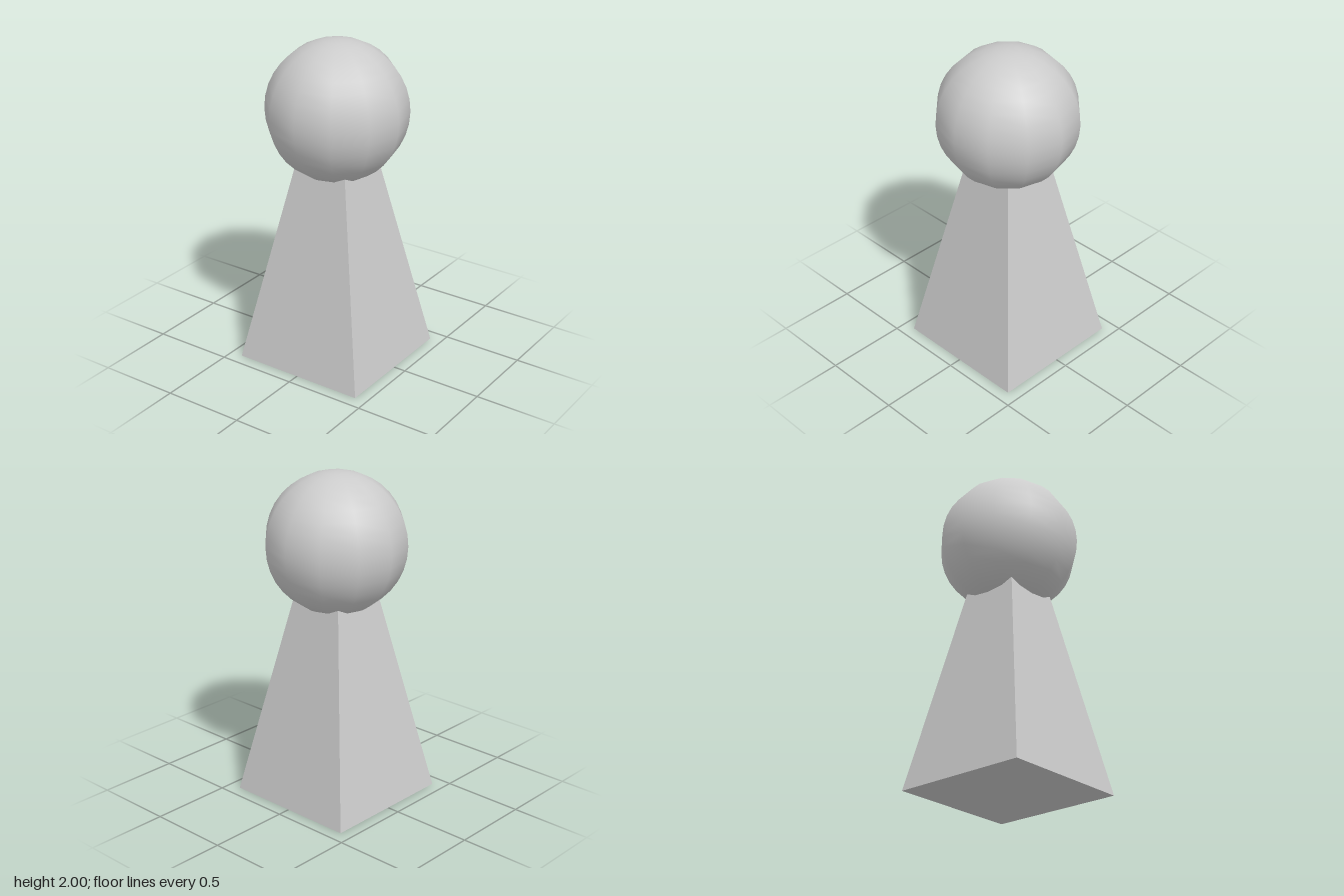
import * as THREE from 'three';

export function createModel() {
  const group = new THREE.Group();
  const half = 0.423, radius = 0.423;

  // Square tapering pedestal, its top end sunk into the ball
  const height = 1.3, topHalf = 0.165;
  const taper = new THREE.CylinderGeometry(topHalf * Math.SQRT2, half * Math.SQRT2, height, 4);
  taper.rotateY(Math.PI / 4);
  taper.translate(0, height / 2, 0);
  const pedestal = new THREE.Mesh(
    taper,
    new THREE.MeshStandardMaterial({ color: 0xcccccc, flatShading: true })
  );
  pedestal.name = 'pedestal';

  // Smooth-shaded ball with twelve sides around
  const ball = new THREE.Mesh(
    new THREE.SphereGeometry(radius, 12, 18),
    new THREE.MeshStandardMaterial({ color: 0xcccccc })
  );
  ball.position.y = 2 - radius;
  ball.name = 'ball';

  group.add(pedestal, ball);
  return group;
}
